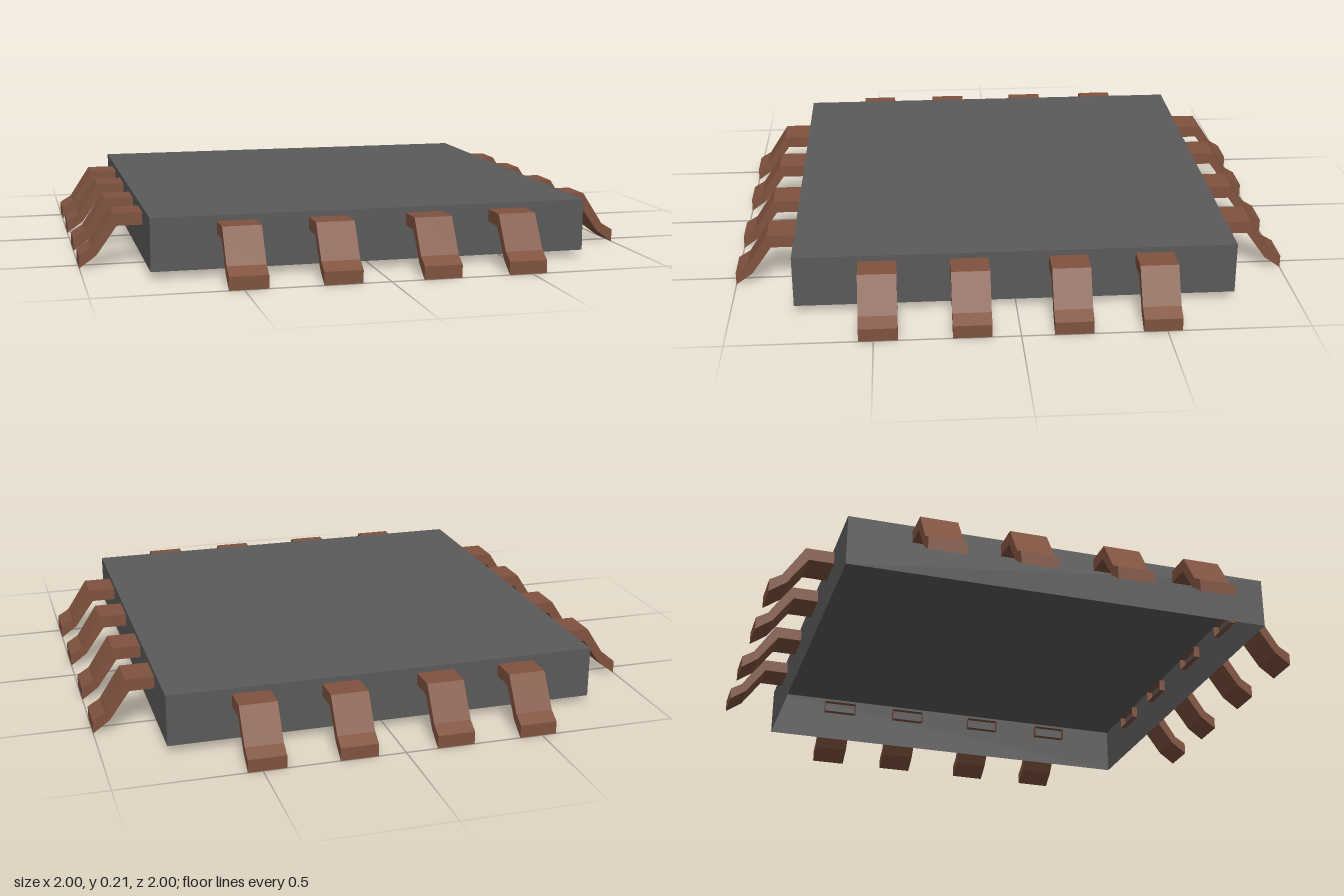
import * as THREE from 'three';

const bodyMaterial = new THREE.MeshStandardMaterial({ color: 0x5a5a5a, side: THREE.DoubleSide, flatShading: true });
const legMaterial = new THREE.MeshStandardMaterial({ color: 0x80523e, side: THREE.DoubleSide, flatShading: true });

// Leg cross-sections from inside the body to the tip: [z top, y top, z bottom, y bottom]
const LEG_SECTIONS = [
  [0.755, 0.19, 0.755, 0.145],
  [0.88, 0.19, 0.867, 0.145],
  [0.957, 0.072, 0.94, 0.043],
  [1, 0.046, 1, 0],
];
const LEG_WIDTH = 0.134;
const LEG_OFFSETS = [-0.484, -0.165, 0.181, 0.485];

// Bent rectangular tube, open at its inner end and capped at the tip
function legGeometry() {
  const w = LEG_WIDTH / 2;
  const positions = [];
  const index = [];
  for (const [zt, yt, zb, yb] of LEG_SECTIONS) {
    positions.push(-w, yt, zt, w, yt, zt, w, yb, zb, -w, yb, zb);
  }
  for (let s = 0; s < LEG_SECTIONS.length - 1; s++) {
    for (let i = 0; i < 4; i++) {
      const j = (i + 1) % 4;
      const a = s * 4 + i, b = s * 4 + j, c = a + 4, d = b + 4;
      index.push(a, c, d, a, d, b);
    }
  }
  const t = (LEG_SECTIONS.length - 1) * 4;
  index.push(t, t + 2, t + 1, t, t + 3, t + 2);
  const indexed = new THREE.BufferGeometry();
  indexed.setAttribute('position', new THREE.Float32BufferAttribute(positions, 3));
  indexed.setIndex(index);
  const geometry = indexed.toNonIndexed();
  geometry.computeVertexNormals();
  return geometry;
}

// Square housing, open underneath
function housingGeometry() {
  const geometry = new THREE.BoxGeometry(1.556, 0.185, 1.556);
  const index = Array.from(geometry.index.array);
  index.splice(18, 6); // bottom face
  geometry.setIndex(index);
  geometry.clearGroups();
  return geometry.translate(0, 0.1175, 0);
}

export function createModel() {
  const model = new THREE.Group();
  model.name = 'microchip';

  const housing = new THREE.Mesh(housingGeometry(), bodyMaterial);
  housing.name = 'housing';
  model.add(housing);

  // The same row of four legs, turned onto each side
  const geometry = legGeometry();
  ['front', 'left', 'back', 'right'].forEach((side, k) => {
    const row = new THREE.Group();
    row.name = side + 'Legs';
    row.rotation.y = k * Math.PI / 2;
    LEG_OFFSETS.forEach((x, i) => {
      const leg = new THREE.Mesh(geometry, legMaterial);
      leg.name = `${side}Leg${i + 1}`;
      leg.position.x = x;
      row.add(leg);
    });
    model.add(row);
  });

  return model;
}
